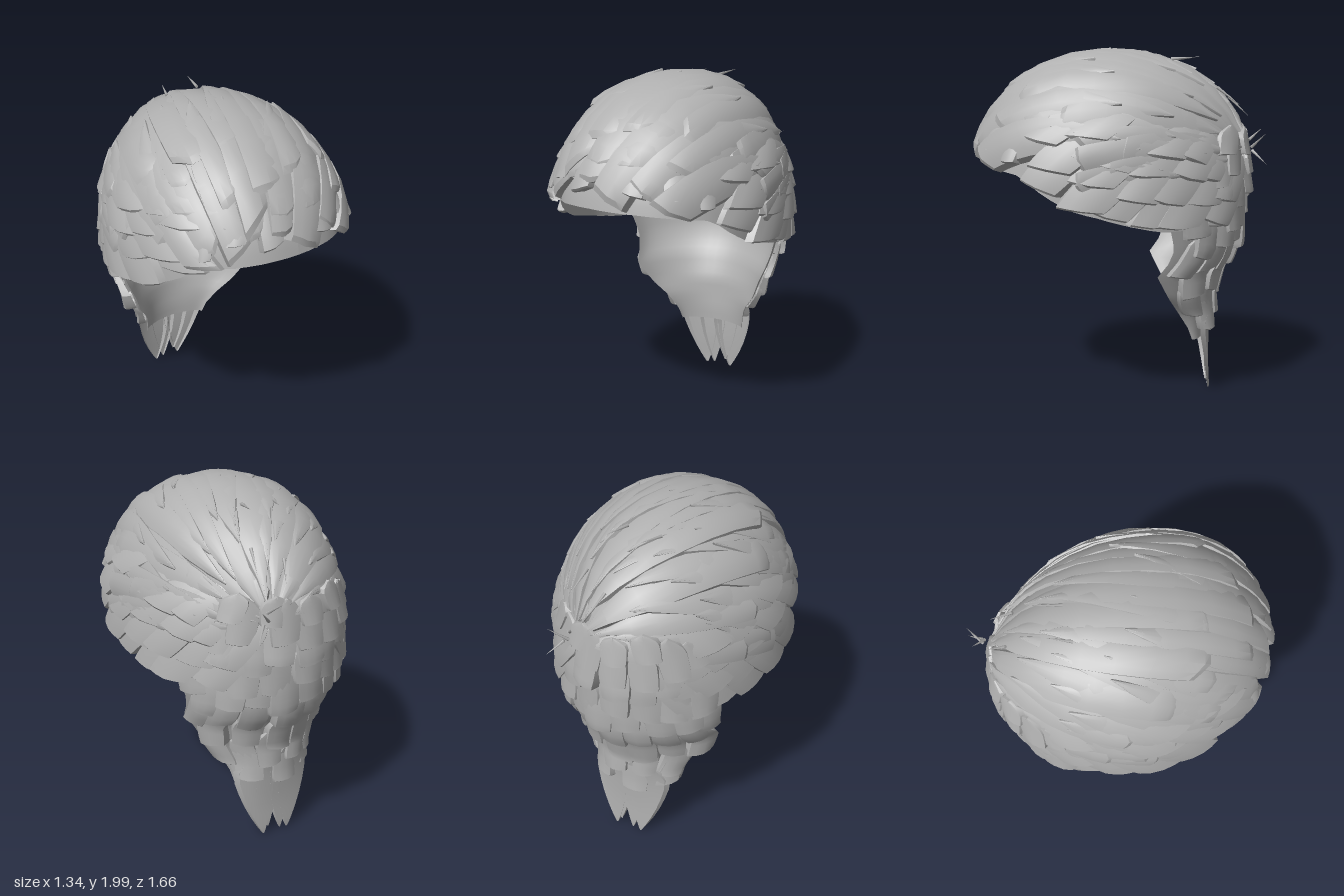
import * as THREE from 'three';
import { toCreasedNormals } from 'three/addons/utils/BufferGeometryUtils.js';

let seed = 7;
const rnd = () => ((seed = (seed * 16807) % 2147483647) / 2147483647);
const jit = (r) => (rnd() * 2 - 1) * r;
const V = (x, y, z) => new THREE.Vector3(x, y, z);
const lerp = THREE.MathUtils.lerp;

// Interpolates the columns of a table sorted by falling first column
function table(rows, k) {
  if (k >= rows[0][0]) return rows[0].slice(1);
  for (let i = 1; i < rows.length; i++) {
    if (k >= rows[i][0]) {
      const f = (k - rows[i][0]) / (rows[i - 1][0] - rows[i][0]);
      return rows[i].slice(1).map((v, j) => lerp(v, rows[i - 1][j + 1], f));
    }
  }
  return rows[rows.length - 1].slice(1);
}

// Lower rim of the crown: z, y
const RIM = [[0.82, 1.37], [0.55, 1.32], [0.42, 1.22], [0.28, 1.14], [-0.1, 1.04], [-0.25, 1.01]];
// Nape: y, half width, z of the side edges, z of the back
const NAPE = [
  [1.45, 0.57, -0.15, -0.74], [1.2, 0.57, -0.18, -0.74], [1.0, 0.5, -0.29, -0.71], [0.9, 0.47, -0.31, -0.69],
  [0.82, 0.45, -0.28, -0.66], [0.74, 0.43, -0.22, -0.61], [0.6, 0.36, -0.29, -0.55], [0.5, 0.28, -0.35, -0.54],
  [0.4, 0.24, -0.41, -0.53], [0.2, 0.2, -0.48, -0.53], [0, 0.12, -0.53, -0.545],
];
const CENTRE = V(0, 1.2, 0);

// Crown: ellipsoid, squarer in front and narrower behind, reached along a direction from its centre
function crown(d, h = 0) {
  const p = 2.2, k = d.z > 0 ? 2.4 : 1.75;
  const flat = Math.abs(d.x / 0.61) ** k + Math.abs(d.z / (d.z > 0 ? 0.795 : 0.76)) ** k;
  const q = flat ** (p / k) + Math.abs(d.y / (d.y > 0 ? 0.75 : 1.6)) ** p;
  return d.clone().multiplyScalar(q ** (-1 / p) + h).add(CENTRE);
}
const belowRim = (v) => v.y < table(RIM, v.z)[0];

// Nape: angle b from the back, height y, offset h
function nape(b, y, h = 0) {
  const [w, zs, zb] = table(NAPE, y);
  const k = 1 - 0.05 * Math.sin(2 * b) ** 2;
  return V(Math.sin(b) * (w * k + h), y, zs + Math.cos(b) * ((zb - zs) * k - h));
}

// Top hair runs as meridians out of a whorl at the back
const WHORL = V(0.2, 0.25, -0.8).normalize();
const E1 = V(0, 1, 0).addScaledVector(WHORL, -WHORL.y).normalize();
const E2 = E1.clone().cross(WHORL);
function meridian(phi, s) {
  const side = E1.clone().multiplyScalar(Math.cos(phi)).addScaledVector(E2, Math.sin(phi));
  return WHORL.clone().multiplyScalar(Math.cos(s)).addScaledVector(side, Math.sin(s));
}
function reach(phi) {
  let s = 0.3;
  while (s < 2.7 && !belowRim(crown(meridian(phi, s)))) s += 0.02;
  return s;
}

// Surface from a grid of points
function sheet(nu, nv, fn, crease = 0.45) {
  const pos = [], idx = [];
  for (let i = 0; i <= nu; i++) for (let j = 0; j <= nv; j++) pos.push(...fn(i, j).toArray());
  for (let i = 0; i < nu; i++) {
    for (let j = 0; j < nv; j++) {
      const a = i * (nv + 1) + j, b = a + nv + 1;
      idx.push(a, b, a + 1, b, b + 1, a + 1);
    }
  }
  const g = new THREE.BufferGeometry();
  g.setAttribute('position', new THREE.Float32BufferAttribute(pos, 3));
  g.setIndex(idx);
  if (crease) return toCreasedNormals(g, crease);
  g.computeVertexNormals();
  return g;
}

// Lock: pointed root, bevelled sides, blunt or pointed end; at(t, w, h) places it
const COLS = [-1, -0.84, -0.45, 0, 0.45, 0.84, 1];
const ROWS = [0, 0.1, 0.22, 0.36, 0.5, 0.64, 0.78, 0.9, 0.97, 1, 0.99];
function lock(at, { thick = 0.05, lift = 0, root = 0.55, tilt = 0, pointed = false }) {
  const skew = jit(0.07), notch = rnd() * 0.04;
  return sheet(ROWS.length - 1, COLS.length - 1, (i, j) => {
    const t = ROWS[i], w = COLS[j];
    let width = Math.sin(Math.min(1, t / root + 0.02) * Math.PI / 2);
    width *= pointed ? 1 - t ** 2.5 * 0.97 : 1 - 0.16 * t ** 4;
    let h = lerp(thick * 0.3, thick, t) * (1 - 0.3 * w * w) + lift * (1 - t) ** 3 + tilt * w * width;
    if (pointed) h = thick * (1 - 0.7 * t);
    if (Math.abs(w) === 1) h = t < 0.15 ? h - 0.01 : -0.005;
    if (i === 9) h *= 0.75;
    if (i === 10) h = -0.005;
    const end = pointed ? 0 : (skew * w - notch * Math.abs(w)) * t ** 3;
    return at(t + end, w * width, h);
  });
}

export function createModel() {
  const group = new THREE.Group();
  const hair = new THREE.MeshStandardMaterial({ color: 0xb0b0b0, side: THREE.DoubleSide });
  hair.name = 'hair grey';
  const add = (name, geometry) => {
    const mesh = new THREE.Mesh(geometry, hair);
    mesh.name = name;
    group.add(mesh);
    return mesh;
  };

  // Smooth cap under the locks
  const dir = (a, th) => V(Math.sin(a) * Math.sin(th), Math.cos(th), Math.cos(a) * Math.sin(th));
  const ends = [];
  for (let i = 0; i <= 64; i++) {
    let th = 0.8;
    while (th < 2.2 && !belowRim(crown(dir(i / 64 * Math.PI * 2, th)))) th += 0.005;
    ends.push(th);
  }
  add('cap', sheet(64, 20, (i, j) =>
    crown(dir(i / 64 * Math.PI * 2, (1 - j / 20) * ends[i]), -0.02), 0));

  // Smooth inside of the nape
  add('napeLining', sheet(26, 24, (i, j) =>
    nape((j / 24 - 0.5) * Math.PI, lerp(1.3, 0.33, i / 26), -0.018), 0));

  // Side locks hanging in shingled rows above the rim
  for (const side of [-1, 1]) {
    for (let row = 0; row < 4; row++) {
      for (let i = 0; i < 6; i++) {
        const a = lerp(1.0, 2.4, (i + (row % 2) * 0.5) / 5.5) + jit(0.06);
        const end = table(RIM, 0.78 * Math.cos(a))[0] + 0.01 + row * 0.125 + rnd() * 0.03;
        const at = (t, w, h) => {
          const b = a + 0.35 * (1 - t) + w * 0.2;
          const y = end + 0.3 * (1 - t) - 0.03 * w;
          return crown(V(side * Math.sin(b) * 0.61, y - 1.2, Math.cos(b) * 0.77).normalize(), h);
        };
        add('sideLock', lock(at, { thick: 0.045 + rnd() * 0.025, root: 0.35, tilt: 0.008 }));
      }
    }
  }

  // Long top locks in layers, sweeping from the whorl to the front
  const layers = [[0.45, 0.95, 12], [0.3, 0.87, 11], [0.16, 0.79, 11], [0.03, 0.68, 9]];
  layers.forEach(([f0, f1, n], k) => {
    for (let i = 0; i < n; i++) {
      const phi = lerp(-1.4, 1.4, (i + (k % 2) * 0.5) / (n - 0.5)) + jit(0.04);
      const L = reach(phi), edge = Math.abs(phi) > 0.95;
      const s0 = L * (f0 + jit(0.07));
      const s1 = L * (edge ? f1 * 0.88 : f1 + jit(0.05));
      const half = 0.145 + jit(0.025);
      const bend = -0.2 + jit(0.1);
      const at = (t, w, h) => {
        const s = lerp(s0, s1, t);
        return crown(meridian(phi + bend * (1 - t) ** 2 + w * half / Math.max(Math.sin(s), 0.4), s), h);
      };
      add('topLock', lock(at, { thick: 0.04 + rnd() * 0.025, lift: 0.04, root: 0.6, tilt: 0.014 }));
    }
  });

  // Fringe pieces falling over the front band
  for (const [x, y0, y1, half] of [[-0.18, 1.78, 1.45, 0.08], [0.13, 1.68, 1.46, 0.09], [-0.36, 1.7, 1.47, 0.09],
    [0.34, 1.66, 1.43, 0.08], [-0.48, 1.62, 1.38, 0.07], [0.47, 1.6, 1.38, 0.07]]) {
    const at = (t, w, h) => crown(V(x + w * half, lerp(y0, y1, t) - 1.2, 0.8 - x * x).normalize(), h);
    add('fringeLock', lock(at, { thick: 0.06, root: 0.25 }));
  }

  // Rows of short locks down the nape: end height, count, half width
  const rows = [[0.36, 3, 0.1], [0.47, 5, 0.09], [0.6, 6, 0.1], [0.74, 7, 0.1],
    [0.88, 8, 0.105], [1.01, 8, 0.105], [1.14, 7, 0.105], [1.27, 6, 0.1], [1.38, 5, 0.09]];
  rows.forEach(([y1, n, half], k) => {
    const span = k > 5 ? 0.95 : 1.35;
    for (let i = 0; i < n; i++) {
      const b = lerp(-span, span, (i + 0.25 + (k % 2) * 0.5) / n) + jit(0.07);
      const end = y1 + jit(0.04), len = k > 7 ? 0.16 : 0.25, lean = Math.sin(b) * 0.16;
      const at = (t, w, h) => {
        const y = lerp(end + len, end, t);
        const [wide, zs, zb] = table(NAPE, y);
        const r = Math.hypot(wide * Math.cos(b), (zs - zb) * Math.sin(b)) + 0.03;
        const turn = THREE.MathUtils.clamp(b + lean * (t - 1) + w * half / r, -1.6, 1.6);
        return nape(turn, y, h);
      };
      add('napeLock', lock(at, { thick: 0.045 + rnd() * 0.03, root: 0.35, tilt: jit(0.012) }));
    }
  });

  // Pointed locks forming the bottom of the tail
  for (const [x0, x1, y1, half] of [[-0.14, -0.08, 0.01, 0.13], [0.14, 0.08, 0.01, 0.13],
    [-0.04, -0.03, 0.02, 0.1], [0.06, 0.05, 0.05, 0.1]]) {
    const at = (t, w, h) => {
      const y = lerp(0.55, y1, t), [wide, zs, zb] = table(NAPE, y);
      const x = lerp(x0, x1, t) + w * half;
      const c = Math.sqrt(Math.max(0, 1 - (x / (wide + 0.06)) ** 2));
      return V(x, y, lerp(zs, zb, c) - h * 0.7);
    };
    add('tailLock', lock(at, { thick: 0.035, root: 0.3, pointed: true }));
  }

  // Loose wisps around the whorl and along the back of the top
  for (const [x, y, z, dx, dy, dz] of [[0.22, 1.46, -0.77, 0.06, 0.06, -0.05], [0.25, 1.42, -0.77, 0.05, -0.05, -0.05],
    [0.2, 1.5, -0.76, -0.03, 0.04, -0.05], [0.1, 1.94, -0.33, 0.03, 0.01, -0.12],
    [-0.1, 1.93, -0.33, 0.04, 0.01, -0.1], [0.2, 1.77, -0.58, 0.03, -0.08, -0.1], [0.05, 1.71, -0.66, 0.04, -0.08, -0.08]]) {
    const d = V(dx, dy, dz), len = d.length() + 0.04;
    const wisp = add('wisp', new THREE.ConeGeometry(0.01, len, 5));
    wisp.position.set(x, y, z).addScaledVector(d, 0.5);
    wisp.quaternion.setFromUnitVectors(V(0, 1, 0), d.normalize());
  }
  return group;
}
